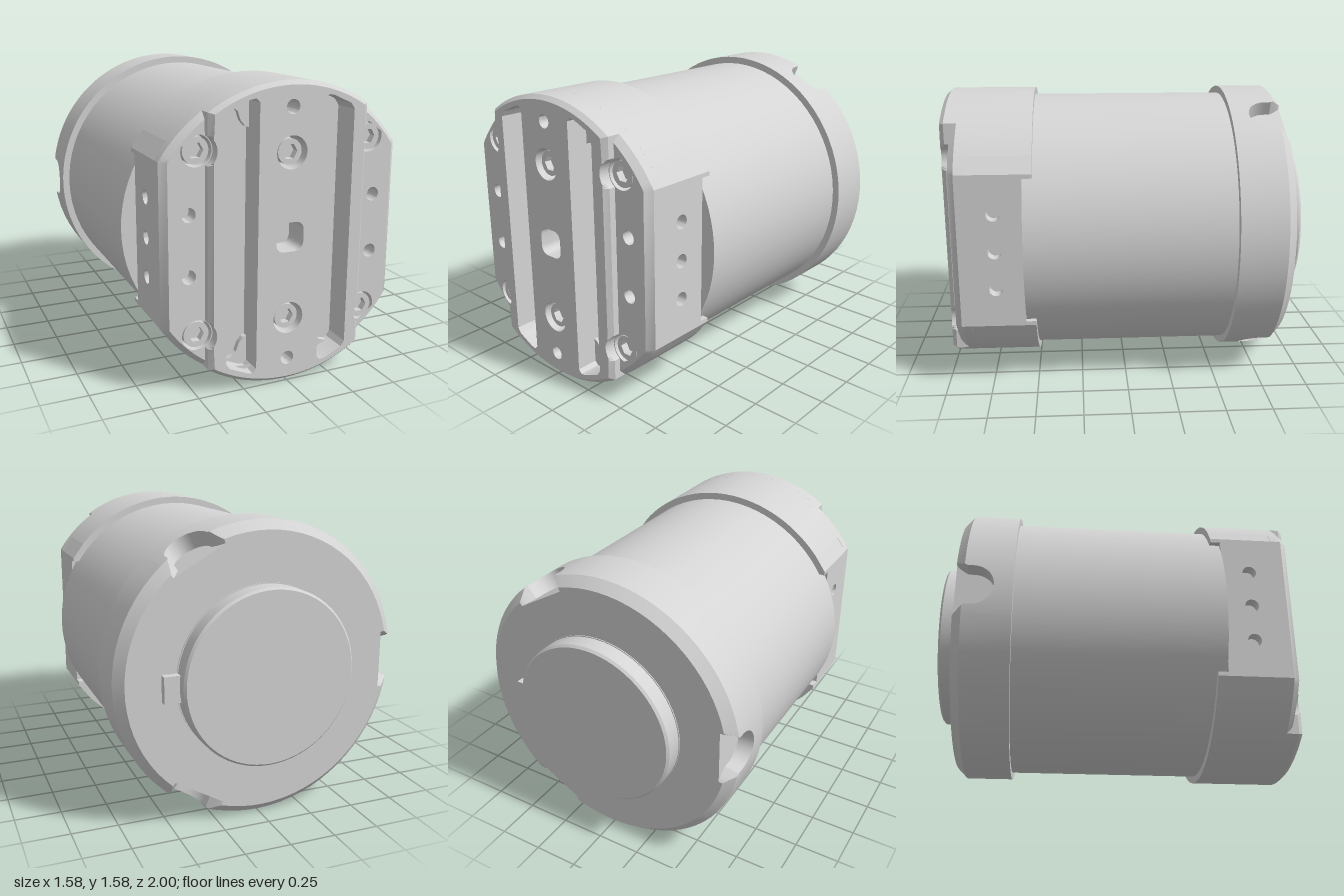
import * as THREE from 'three';
import { toCreasedNormals } from 'three/addons/utils/BufferGeometryUtils.js';

const R = 0.788;
const metal = new THREE.MeshStandardMaterial({ color: 0xd4d4d4 });
metal.name = 'light grey metal';

const vec = (x, y) => new THREE.Vector2(x, y);

function add(parent, name, geometry) {
  const mesh = new THREE.Mesh(toCreasedNormals(geometry, 0.5), metal);
  mesh.name = name;
  parent.add(mesh);
  return mesh;
}

// Surface of revolution about z from [radius, z] points running front to back
function turned(points) {
  const profile = points.map(([r, z]) => vec(r, z)).reverse();
  return new THREE.LatheGeometry(profile, 72).rotateX(Math.PI / 2);
}

function arc(cx, cy, r, from, to, n) {
  return Array.from({ length: n + 1 }, (_, i) => {
    const a = from + (to - from) * i / n;
    return vec(cx + r * Math.cos(a), cy + r * Math.sin(a));
  });
}

const circle = (x, y, r, n = 28) => new THREE.Path(arc(x, y, r, 0, Math.PI * 2, n).slice(0, -1));

// Disc with two flats at x = +-flat, optionally scalloped around the corner screws
function flattedDisc(flat, scalloped) {
  const a = Math.acos(flat / R);
  const half = arc(0, 0, R, a, Math.PI - a, 40);
  if (scalloped) {
    const b = Math.acos(0.045 / 0.085);
    half.push(...arc(-0.485, 0.47, 0.085, b, -b, 12));
    half.push(...arc(-0.485, -0.47, 0.085, b, -b, 12));
  }
  return [...half, ...half.map(p => vec(-p.x, -p.y))].filter((p, i, all) =>
    p.distanceTo(all[(i + 1) % all.length]) > 1e-4);
}

// Slab between two z values; a chamfer draws the front outline inwards
function slab(points, holes, z0, z1, flat, chamfer = 0) {
  const shape = new THREE.Shape(points);
  shape.holes.push(...holes);
  const g = new THREE.ExtrudeGeometry(shape, { depth: z1 - z0, bevelEnabled: false });
  g.translate(0, 0, z0);
  const p = g.attributes.position;
  for (let i = 0; chamfer && i < p.count; i++) {
    if (p.getZ(i) < z1 - 1e-4) continue;
    const x = THREE.MathUtils.clamp(p.getX(i), chamfer - flat, flat - chamfer);
    const y = p.getY(i);
    const k = Math.min(1, (R - chamfer) / Math.hypot(x, y));
    p.setXY(i, x * k, y * k);
  }
  return g;
}

function roundedSquare(h, r) {
  const pts = [];
  [[1, 1], [-1, 1], [-1, -1], [1, -1]].forEach(([sx, sy], i) =>
    pts.push(...arc(sx * (h - r), sy * (h - r), r, i * Math.PI / 2, (i + 1) * Math.PI / 2, 6)));
  return new THREE.Path(pts);
}

function groove(s) {
  return new THREE.Path([[0.18, -0.69], [0.2, -0.71], [0.23, -0.705], [0.33, -0.66], [0.35, -0.63],
    [0.35, 0.63], [0.33, 0.66], [0.23, 0.705], [0.2, 0.71], [0.18, 0.69]].map(([x, y]) => vec(s * x, y)));
}

// Rear cap: cross-sections around z, with three U-shaped notches in the rim
function rearCap() {
  const cols = [];
  const floor = 0.7, back = -0.895, edge = -0.845, w = 0.115, flare = 0.17;
  const spread = flare / R;
  for (let k = 0; k < 3; k++) {
    const mid = Math.PI / 3 + k * Math.PI * 2 / 3;
    const put = (t, zEnd) => cols.push({ a: mid + t / R, zEnd, floor: floor / Math.cos(t / R) });
    const side = i => [w + (flare - w) * i / 6, back + 0.065 * (1 - i / 6) ** 1.3];
    cols.push({ a: mid - spread, zEnd: back, floor: 9 });
    for (let i = 6; i >= 0; i--) put(-side(i)[0], side(i)[1]);
    for (let i = 0; i <= 20; i++) {
      const q = Math.PI * i / 20;
      put(-w * Math.cos(q), -0.8 + w * Math.sin(q));
    }
    for (let i = 0; i <= 6; i++) put(...side(i));
    const gap = Math.PI * 2 / 3 - 2 * spread;
    for (let i = 0; i < 20; i++) cols.push({ a: mid + spread + gap * i / 20, zEnd: back, floor: 9 });
  }
  cols.push({ ...cols[0], a: cols[0].a + Math.PI * 2 });
  const pos = [], index = [], n = 7;
  cols.forEach(({ a, zEnd, floor }, i) => {
    const rim = R - Math.max(0, edge - zEnd);
    const inner = Math.min(rim, floor);
    [[0.7, -0.585], [R, -0.585], [R, Math.max(zEnd, edge)], [rim, zEnd], [inner, zEnd], [inner, back], [0, back]]
      .forEach(([r, z]) => pos.push(r * Math.cos(a), r * Math.sin(a), z));
    if (i === cols.length - 1) return;
    for (let j = 0; j < n - 1; j++) {
      const p = i * n + j, q = p + n;
      index.push(p, p + 1, q + 1, p, q + 1, q);
    }
  });
  const g = new THREE.BufferGeometry();
  g.setAttribute('position', new THREE.Float32BufferAttribute(pos, 3));
  g.setIndex(index);
  return g;
}

// Side plate with three holes, widened towards its inner face to follow the disc
function sidePlate() {
  const y0 = Math.sqrt(R * R - 0.665 ** 2), y1 = Math.sqrt(R * R - 0.6 ** 2);
  const shape = new THREE.Shape([vec(-0.85, -y0), vec(-0.5, -y0), vec(-0.5, -0.4), vec(-0.555, -0.4),
    vec(-0.555, 0.4), vec(-0.5, 0.4), vec(-0.5, y0), vec(-0.85, y0)]);
  for (const y of [-0.21, 0, 0.21]) shape.holes.push(circle(-0.71, y, 0.038));
  const g = new THREE.ExtrudeGeometry(shape, { depth: 0.065, bevelEnabled: false });
  g.rotateY(Math.PI / 2).translate(0.6, 0, 0);
  const p = g.attributes.position;
  for (let i = 0; i < p.count; i++) {
    const y = p.getY(i);
    if (p.getX(i) < 0.61 && Math.abs(y) > 0.41) p.setY(i, Math.sign(y) * y1);
  }
  return g;
}

function socketScrew(r, z1) {
  const hex = [circle(0, 0, 0.042, 6)];
  const g = new THREE.Group();
  g.name = 'socketScrew';
  const rim = circle(0, 0, r).getPoints();
  add(g, 'screwHead', slab(rim, hex, 0.85, z1, r));
  add(g, 'socketFloor', new THREE.CircleGeometry(r * 0.9, 24).translate(0, 0, z1 - 0.04));
  return g;
}

export function createModel() {
  const model = new THREE.Group();
  model.name = 'motorUnit';
  const unit = new THREE.Group();
  unit.name = 'housing';
  unit.position.y = 0.79;
  model.add(unit);

  // Barrel and rear
  add(unit, 'barrel', turned([[0, 0.555], [0.748, 0.555], [0.748, -0.6], [0, -0.6]]));
  add(unit, 'rearCap', rearCap());
  add(unit, 'rearDisc', turned([[0.475, -0.88], [0.475, -0.9], [0.47, -0.9], [0.47, -0.988], [0.458, -1], [0, -1]]));
  add(unit, 'locatingTab', new THREE.BoxGeometry(0.12, 0.14, 0.06).translate(0.49, -0.015, -0.905));

  // Front block
  const grooves = () => [groove(1), groove(-1)];
  const centreHoles = () => [circle(0, 0.435, 0.085), circle(0, -0.435, 0.085), circle(0, 0.66, 0.037),
    circle(0, -0.66, 0.037), roundedSquare(0.077, 0.045)];
  const sideHoles = () => [-1, 1].flatMap(s => [-1, 1].flatMap(t =>
    [circle(s * 0.485, t * 0.47, 0.08), circle(s * 0.525, t * 0.158, 0.037)]));
  const all = () => [...grooves(), ...centreHoles(), ...sideHoles()];
  add(unit, 'frontBlock', slab(flattedDisc(0.6), [], 0.5, 0.85, 0.6));
  add(unit, 'shoulder', slab(flattedDisc(0.665), all(), 0.85, 0.905, 0.665));
  add(unit, 'shoulderChamfer', slab(flattedDisc(0.665), all(), 0.905, 0.94, 0.665, 0.03));
  const bossHoles = () => [...grooves(), ...centreHoles()];
  add(unit, 'boss', slab(flattedDisc(0.44, true), bossHoles(), 0.905, 0.975, 0.44));
  add(unit, 'bossChamfer', slab(flattedDisc(0.44, true), bossHoles(), 0.975, 1, 0.44, 0.022));

  for (const s of [-1, 1]) {
    const plate = add(unit, 'sidePlate', sidePlate());
    plate.rotation.z = s > 0 ? 0 : Math.PI;

    const centreScrew = socketScrew(0.066, 0.975);
    centreScrew.position.y = s * 0.435;
    unit.add(centreScrew);

    for (const t of [-1, 1]) {
      const screw = socketScrew(0.068, 0.93);
      screw.position.set(s * 0.485, t * 0.47, 0);
      unit.add(screw);

      // Ledge in the end of each groove
      const ledge = add(unit, 'grooveLedge', slab([vec(0.17, 0.55), vec(0.2, 0.56), vec(0.225, 0.59),
        vec(0.24, 0.635), vec(0.27, 0.66), vec(0.32, 0.67), vec(0.2, 0.72), vec(0.17, 0.7)], [], 0.84, 0.88, 1));
      ledge.scale.set(s, t, 1);
    }
  }
  return model;
}
